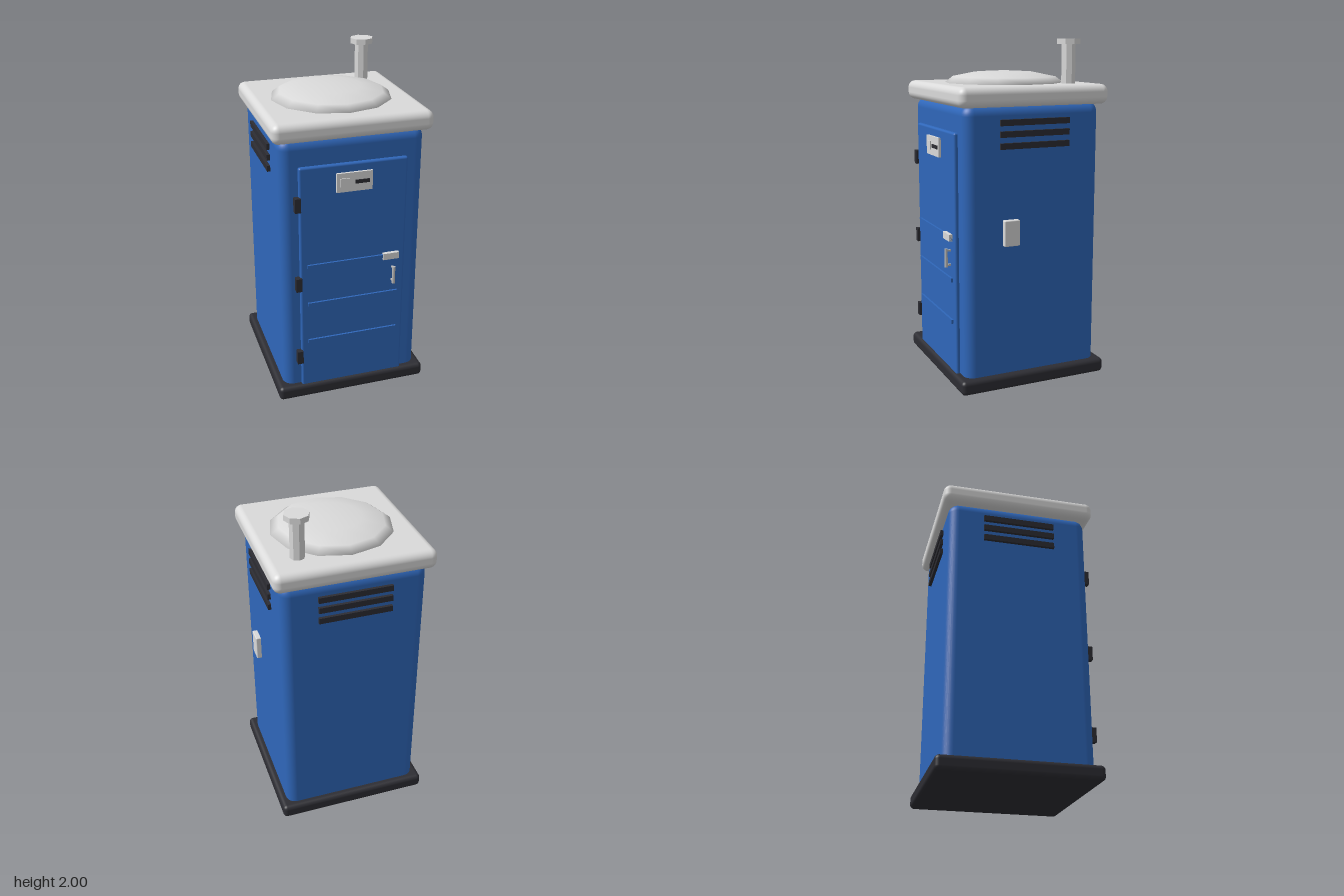
import * as THREE from 'three';
import { RoundedBoxGeometry } from 'three/addons/geometries/RoundedBoxGeometry.js';

const mat = (name, color, extra = {}) => {
  const m = new THREE.MeshStandardMaterial({ color, ...extra });
  m.name = name;
  return m;
};

export function createModel() {
  const blue = mat('blue plastic', 0x2f67ba);
  const pale = mat('pale grey plastic', 0xdadada);
  const paleFlat = mat('pale grey pipe', 0xdadada, { flatShading: true });
  const dark = mat('dark plastic', 0x2d2d33);
  const metal = mat('handle grey', 0xbcbcbc);

  const model = new THREE.Group();
  model.name = 'portableToilet';
  const cabin = new THREE.Group(); // everything is laid out around the cabin axis
  cabin.name = 'cabin';
  cabin.position.z = -0.01;
  model.add(cabin);

  const add = (name, geometry, material, x, y, z) => {
    const mesh = new THREE.Mesh(geometry, material);
    mesh.name = name;
    mesh.position.set(x, y, z);
    cabin.add(mesh);
    return mesh;
  };
  // Box given by its extents on each axis, rounded when r > 0
  const block = (name, material, [x0, x1], [y0, y1], [z0, z1], r = 0) => {
    const size = [x1 - x0, y1 - y0, z1 - z0];
    const geometry = r ? new RoundedBoxGeometry(...size, 4, r) : new THREE.BoxGeometry(...size);
    return add(name, geometry, material, (x0 + x1) / 2, (y0 + y1) / 2, (z0 + z1) / 2);
  };

  // Main shell
  block('base', dark, [-0.46, 0.46], [0, 0.085], [-0.46, 0.46], 0.025);
  block('walls', blue, [-0.42, 0.42], [0.01, 1.645], [-0.42, 0.42], 0.06);
  block('roof', pale, [-0.46, 0.46], [1.632, 1.745], [-0.46, 0.46], 0.042);

  // Shallow skylight dome
  const dome = new THREE.SphereGeometry(0.355, 12, 3, 0, Math.PI * 2, 0, Math.PI / 2);
  dome.scale(1, 0.07 / 0.355, 1);
  add('roofDome', dome, pale, 0, 1.745, 0);

  // Vent pipe
  add('ventPipe', new THREE.CylinderGeometry(0.042, 0.042, 0.26, 8), paleFlat, 0.282, 1.85, -0.283);
  add('ventPipeCap', new THREE.CylinderGeometry(0.07, 0.07, 0.032, 8), paleFlat, 0.282, 1.984, -0.283);

  // Door with raised ribs and hinges
  block('door', blue, [-0.317, 0.315], [0.06, 1.49], [0.40, 0.442], 0.012);
  for (const y of [0.39, 0.64, 0.888]) {
    block('doorRib', blue, [-0.275, 0.273], [y - 0.012, y + 0.012], [0.43, 0.454]);
  }
  for (const y of [0.287, 0.78, 1.277]) {
    block('hinge', dark, [-0.345, -0.31], [y - 0.042, y + 0.042], [0.41, 0.456]);
  }

  // Sign plate with a square panel and a dark slot
  block('signPlate', pale, [-0.107, 0.102], [1.328, 1.44], [0.43, 0.456]);
  block('signPanel', pale, [-0.088, -0.03], [1.36, 1.41], [0.455, 0.462]);
  block('signSlot', dark, [0, 0.084], [1.374, 1.395], [0.455, 0.462]);

  // Latch and pull handle
  block('latch', pale, [0.176, 0.273], [0.87, 0.91], [0.43, 0.464]);
  add('handle', new THREE.CylinderGeometry(0.01, 0.01, 0.11, 8), metal, 0.24, 0.767, 0.47);
  for (const y of [0.725, 0.81]) {
    block('handlePost', metal, [0.234, 0.246], [y - 0.005, y + 0.005], [0.43, 0.47]);
  }

  // Small box on the left wall
  block('wallBox', pale, [0.41, 0.45], [0.85, 1.0], [0.1, 0.195], 0.006);

  // Louvres on both sides and the back
  for (const y of [1.417, 1.483, 1.547]) {
    const height = [y - 0.017, y + 0.017];
    block('leftLouvre', dark, [0.41, 0.438], height, [-0.213, 0.213]);
    block('rightLouvre', dark, [-0.438, -0.41], height, [-0.213, 0.213]);
    block('backLouvre', dark, [-0.213, 0.213], height, [-0.438, -0.41]);
  }
  return model;
}
